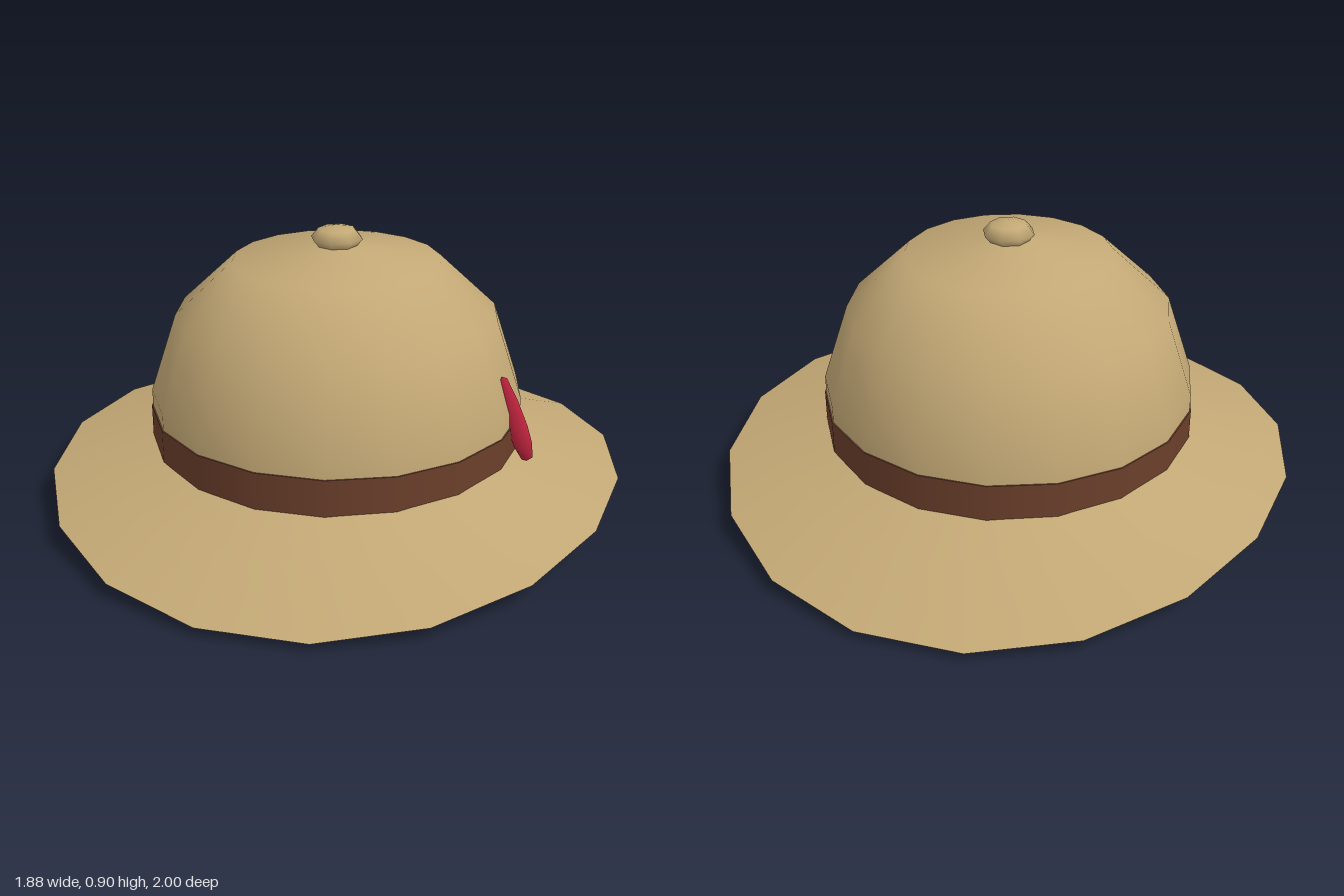
import * as THREE from 'three';
import { mergeVertices } from 'three/addons/utils/BufferGeometryUtils.js';

const SIDES = 18;

// Smooth lathe from [radius, height] pairs, with a corner on the x axis
function lathe(points, sides = SIDES) {
  return new THREE.LatheGeometry(points.map(([r, y]) => new THREE.Vector2(r, y)), sides, Math.PI / 2);
}

// Brim surface: stretched along z, dipping at front and back
function brimSurface(points) {
  const geo = lathe(points);
  const pos = geo.attributes.position;
  for (let i = 0; i < pos.count; i++) {
    const x = pos.getX(i), z = pos.getZ(i);
    const r = Math.hypot(x, z);
    const t = Math.max(0, (r - 0.58) / 0.36);
    const s = z / Math.max(r, 0.01);
    pos.setY(i, pos.getY(i) - s * s * (0.015 + 0.075 * t));
    pos.setZ(i, z * (1 + 0.08 * t));
  }
  geo.deleteAttribute('normal');
  geo.deleteAttribute('uv');
  const merged = mergeVertices(geo, 1e-4);
  merged.computeVertexNormals();
  return merged;
}

export function createModel() {
  const group = new THREE.Group();
  const tan = new THREE.MeshStandardMaterial({ color: 0xc3a875 });
  tan.name = 'tanCloth';
  const brown = new THREE.MeshStandardMaterial({ color: 0x6b3f2b });
  brown.name = 'brownLeather';
  const red = new THREE.MeshStandardMaterial({ color: 0xc0243f });
  red.name = 'redFeather';

  const add = (name, geo, mat, parent = group) => {
    const mesh = new THREE.Mesh(geo, mat);
    mesh.name = name;
    parent.add(mesh);
    return mesh;
  };

  // Brim: top, thin sloping rim and closed underside
  const brim = new THREE.Group();
  brim.name = 'brim';
  group.add(brim);
  add('brimTop', brimSurface([[0.94, 0.115], [0.76, 0.168], [0.58, 0.22]]), tan, brim);
  add('brimRim', brimSurface([[0.91, 0.083], [0.94, 0.115]]), tan, brim);
  add('brimUnderside', brimSurface([[0, 0.15], [0.62, 0.15], [0.91, 0.083]]), tan, brim);

  // Crown
  add('crown', lathe([
    [0.61, 0.19], [0.611, 0.365], [0.525, 0.62], [0.337, 0.795], [0, 0.85],
  ]), tan);

  // Hat band with a narrow top edge
  add('hatBand', lathe([[0.615, 0.18], [0.615, 0.31]]), brown);
  add('hatBandEdge', lathe([[0.615, 0.31], [0.605, 0.31]]), brown);

  // Top button, a flattened ball
  const button = add('topButton', new THREE.SphereGeometry(0.085, 8, 4), tan);
  button.scale.y = 0.5;
  button.position.y = 0.862;

  // Feather tucked into the band on the left side
  const feather = add('feather', lathe([
    [0, -0.145], [0.018, -0.14], [0.03, -0.09], [0.032, -0.03], [0.026, 0.06], [0.014, 0.14], [0, 0.148],
  ], 4), red);
  feather.position.set(0.605, 0.34, 0.113);
  feather.rotation.z = 0.33;

  return group;
}
